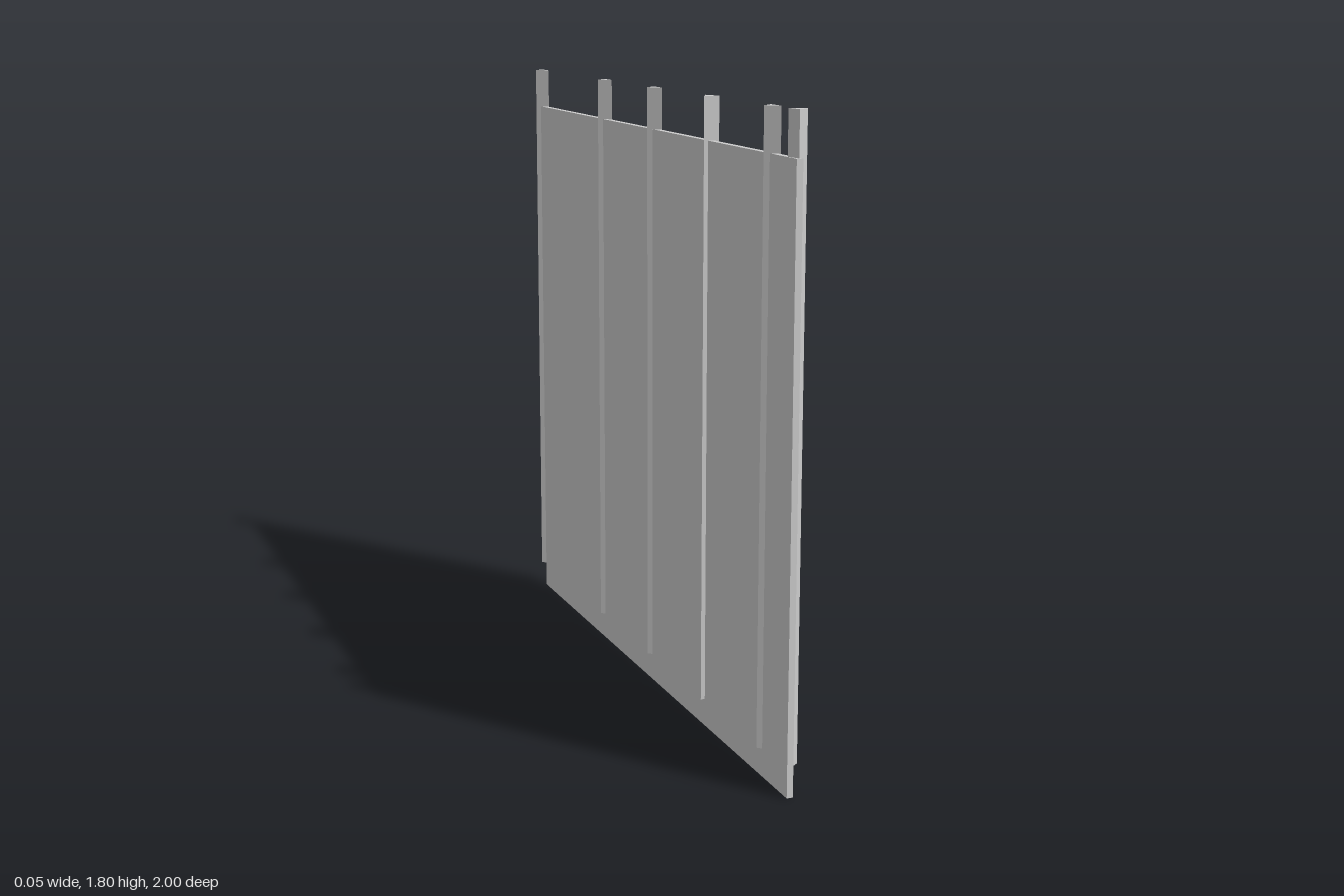
import * as THREE from 'three';

const PANEL = { x: -0.009, thick: 0.018, back: -0.96, front: 1, height: 1.68 };
const POST = { bottom: 0.08, top: 1.8 };

// Upright prism with a triangular section given as [x, z] corners
function prism(corners, z0) {
  const shape = new THREE.Shape(corners.map(([x, z]) => new THREE.Vector2(x, -(z + z0))));
  const geo = new THREE.ExtrudeGeometry(shape, { depth: POST.top - POST.bottom, bevelEnabled: false });
  geo.rotateX(-Math.PI / 2);
  geo.translate(0, POST.bottom, 0);
  return geo;
}

export function createModel() {
  const group = new THREE.Group();
  const material = new THREE.MeshStandardMaterial({ color: 0xcccccc, flatShading: true });
  const add = (name, geo) => {
    const mesh = new THREE.Mesh(geo, material);
    mesh.name = name;
    group.add(mesh);
  };

  // Thin flat panel
  const panel = new THREE.BoxGeometry(PANEL.thick, PANEL.height, PANEL.front - PANEL.back);
  panel.translate(PANEL.x, PANEL.height / 2, (PANEL.front + PANEL.back) / 2);
  add('panel', panel);

  // Split stakes: flat face nearly flush with the panel, ridge on the far side
  const flush = [[0.003, -0.031], [0.003, 0.031], [-0.03, -0.002]];
  // Turned stakes: one faces along the panel, the other has its ridge outwards
  const turned = [[-0.03, 0.02], [0.013, 0.024], [-0.006, -0.025]];
  const outward = [[-0.015, -0.025], [0.025, 0.002], [-0.008, 0.025]];

  [
    [outward, 0.968], [flush, 0.835], [turned, 0.433],
    [flush, 0.04], [flush, -0.37], [flush, -0.969],
  ].forEach(([section, z], i) => add(`stake${i + 1}`, prism(section, z)));

  return group;
}
